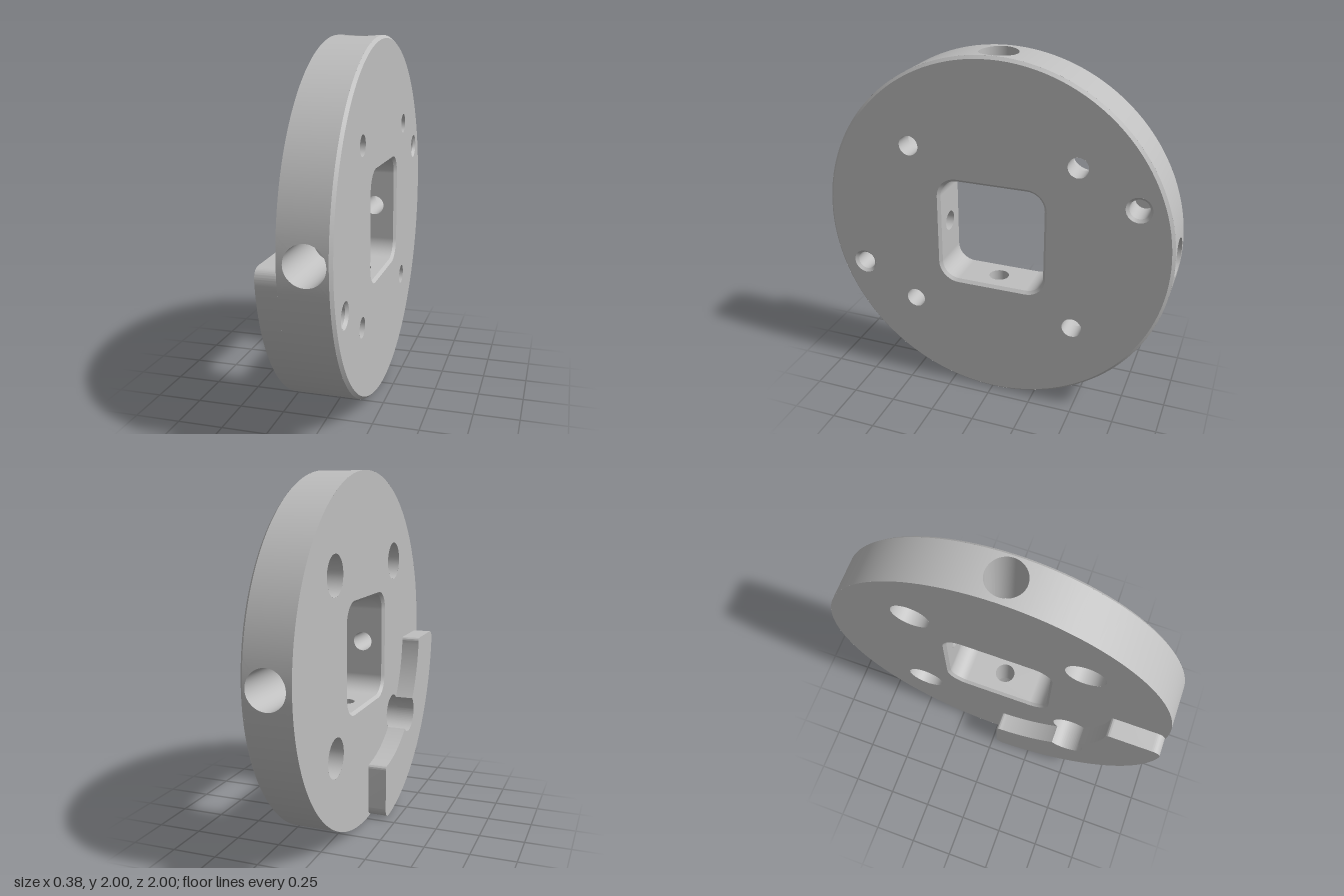
import * as THREE from 'three';
import { toCreasedNormals } from 'three/addons/utils/BufferGeometryUtils.js';

const PI = Math.PI;
const BACK = -0.08, FRONT = 0.187, CH = 0.016;   // plate faces and chamfer size
const BORE_Z = 0.055, BORE_R = 0.105, PIN_R = 0.056;
const SQ = 0.3, SQ_R = 0.1;                      // square opening

export function createModel() {
  const metal = new THREE.MeshStandardMaterial({ color: 0xbfbfbf, side: THREE.DoubleSide });
  metal.name = 'grey metal';
  const model = new THREE.Group();
  model.name = 'clampPlate';
  // Built with its axis along z, then turned so the axis runs along x
  const disc = new THREE.Group();
  disc.name = 'disc';
  disc.rotation.y = PI / 2;
  disc.position.y = 1;
  model.add(disc);

  const add = (name, geo, parent = disc) => {
    const m = new THREE.Mesh(geo, metal);
    m.name = name;
    parent.add(m);
    return m;
  };
  // Conical or straight wall around the z direction
  const wall = (r0, z0, r1, z1, x = 0, y = 0, seg = 40, start = 0, len = 2 * PI) =>
    new THREE.CylinderGeometry(r1, r0, z1 - z0, seg, 1, true, start, len)
      .rotateX(PI / 2).translate(x, y, (z0 + z1) / 2);
  // Skin between closed loops of [x, y, z] points
  const loft = (rows) => {
    const n = rows[0].length, index = [];
    for (let i = 0; i < rows.length - 1; i++) {
      for (let j = 0; j < n; j++) {
        const k = (j + 1) % n, a = i * n + j, b = i * n + k;
        index.push(a, b, a + n, b, b + n, a + n);
      }
    }
    const g = new THREE.BufferGeometry();
    g.setAttribute('position', new THREE.Float32BufferAttribute(rows.flat(2), 3));
    g.setIndex(index);
    g.computeVertexNormals();
    return g;
  };
  const circle = (r, x = 0, y = 0) => new THREE.Path().absarc(x, y, r, 0, 2 * PI);
  const squareLoop = (h, r) => {
    const pts = [];
    for (let q = 0; q < 4; q++) {
      const cx = (h - r) * [1, -1, -1, 1][q], cy = (h - r) * [1, 1, -1, -1][q];
      for (let i = 0; i <= 10; i++) {
        const a = (q + i / 10) * PI / 2;
        pts.push(new THREE.Vector2(cx + r * Math.cos(a), cy + r * Math.sin(a)));
      }
    }
    return pts;
  };

  const bolts = [[1, 1], [-1, 1], [-1, -1], [1, -1]].map(([x, y]) => [x * 0.475, y * 0.475]);
  const pins = [[0.798, 0.292], [-0.798, -0.292]];
  const sqOuter = squareLoop(SQ + CH, SQ_R + CH), sqInner = squareLoop(SQ, SQ_R);

  // Flat faces
  const face = (name, radius, z, holes) => {
    const s = new THREE.Shape().absarc(0, 0, radius, 0, 2 * PI);
    s.holes = [new THREE.Path(sqOuter), ...holes];
    const g = new THREE.ShapeGeometry(s, 64).translate(0, 0, z);
    if (z < 0) {
      const ix = g.index.array;
      for (let i = 0; i < ix.length; i += 3) [ix[i], ix[i + 1]] = [ix[i + 1], ix[i]];
      g.computeVertexNormals();
    }
    add(name, g);
  };
  face('outerFace', 1 - CH, FRONT, [
    ...bolts.map(([x, y]) => circle(PIN_R, x, y)),
    ...pins.map(([x, y]) => circle(0.07, x, y))]);
  face('innerFace', 1, BACK, bolts.map(([x, y]) => circle(0.11, x, y)));
  add('rimChamfer', wall(1, FRONT - CH, 1 - CH, FRONT, 0, 0, 128));

  // Bolt holes, counterbored from the inner face
  for (const [x, y] of bolts) {
    add('boltCounterbore', wall(0.11, BACK, 0.11, 0.07, x, y));
    add('boltSeat', new THREE.RingGeometry(PIN_R, 0.11, 40).rotateX(PI).translate(x, y, 0.07));
    add('boltHole', wall(PIN_R, 0.07, PIN_R, FRONT, x, y));
  }
  // Blind pin holes with a chamfered mouth
  for (const [x, y] of pins) {
    add('pinChamfer', wall(0.054, FRONT - CH, 0.07, FRONT, x, y));
    add('pinHole', wall(0.054, 0.03, 0.054, FRONT - CH, x, y));
    add('pinFloor', new THREE.CircleGeometry(0.054, 40).translate(x, y, 0.03));
  }

  // Square opening: chamfers on both faces
  const at = (pts, z) => pts.map((p) => [p.x, p.y, z]);
  add('openingChamferFront', loft([at(sqOuter, FRONT), at(sqInner, FRONT - CH)]));
  add('openingChamferBack', loft([at(sqInner, BACK + CH), at(sqOuter, BACK)]));

  // Angles around a radial bore, including the corners of its rim patch
  const HW = 0.14, zLo = BACK - BORE_Z, zHi = FRONT - CH - BORE_Z;
  const angles = [];
  for (let i = 0; i < 64; i++) angles.push(i / 64 * 2 * PI);
  for (const s of [-HW, HW]) {
    for (const z of [zLo, zHi]) angles.push((Math.atan2(z, s) + 2 * PI) % (2 * PI));
  }
  angles.sort((a, b) => a - b);
  const rimRow = (t) => angles.map((a) => {
    const c = Math.cos(a), s = Math.sin(a);
    const reach = Math.min(HW / Math.max(Math.abs(c), 1e-9),
      (s > 0 ? zHi : -zLo) / Math.max(Math.abs(s), 1e-9));
    const th = THREE.MathUtils.lerp(Math.asin(BORE_R * c), reach * c, t);
    const z = THREE.MathUtils.lerp(BORE_R * s, reach * s, t);
    return [Math.cos(th), Math.sin(th), BORE_Z + z];
  });
  const boreRow = (r, x) => angles.map((a) => [x, r * Math.cos(a), BORE_Z + r * Math.sin(a)]);

  // Four equal quarters: rim, radial bore and one wall of the opening
  for (let q = 0; q < 4; q++) {
    const quarter = new THREE.Group();
    quarter.name = 'quarter';
    quarter.rotation.z = q * PI / 2;
    disc.add(quarter);
    add('rim', wall(1, BACK, 1, FRONT - CH, 0, 0, 32, PI / 2 + HW, PI / 2 - 2 * HW), quarter);
    add('rimAroundBore', loft([0, 0.33, 0.67, 1].map(rimRow)), quarter);
    add('boreCounterbore', loft([boreRow(BORE_R, 0.55), rimRow(0)]), quarter);
    add('boreSeat', loft([boreRow(PIN_R, 0.55), boreRow(BORE_R, 0.55)]), quarter);
    add('boreHole', loft([boreRow(PIN_R, SQ), boreRow(PIN_R, 0.55)]), quarter);

    const w = SQ - SQ_R, z0 = BACK + CH, z1 = FRONT - CH;
    const side = new THREE.Shape([[-z1, -w], [-z0, -w], [-z0, w], [-z1, w]]
      .map(([x, y]) => new THREE.Vector2(x, y)));
    side.holes = [circle(PIN_R, -BORE_Z, 0)];
    add('openingWall',
      new THREE.ShapeGeometry(side, 32).rotateY(PI / 2).translate(SQ, 0, 0), quarter);
    add('openingCorner', wall(SQ_R, z0, SQ_R, z1, w, w, 10, PI / 2, PI / 2), quarter);
  }

  // Raised quarter-ring step with a notch around one bolt hole
  const step = new THREE.Shape();
  step.moveTo(-0.70, -0.03);
  step.lineTo(-0.94, -0.03);
  step.quadraticCurveTo(-0.995, -0.03, -Math.cos(0.09), -Math.sin(0.09));
  step.absarc(0, 0, 1, PI + 0.09, 1.5 * PI - 0.09, false);
  step.quadraticCurveTo(-0.03, -0.995, -0.03, -0.94);
  step.lineTo(-0.03, -0.70);
  step.quadraticCurveTo(-0.03, -0.675, -0.68 * Math.sin(0.09), -0.68 * Math.cos(0.09));
  step.absarc(0, 0, 0.68, 1.5 * PI - 0.09, 1.25 * PI + 0.163, true);
  step.absarc(-0.475, -0.475, 0.11, 1.75 * PI, 0.75 * PI, true);
  step.absarc(0, 0, 0.68, 1.25 * PI - 0.163, PI + 0.09, true);
  step.quadraticCurveTo(-0.675, -0.03, -0.70, -0.03);
  const stepGeo = new THREE.ExtrudeGeometry(step, { depth: 0.108, bevelEnabled: false, curveSegments: 32 });
  add('raisedStep', toCreasedNormals(stepGeo, 0.5).translate(0, 0, -0.188));

  return model;
}
